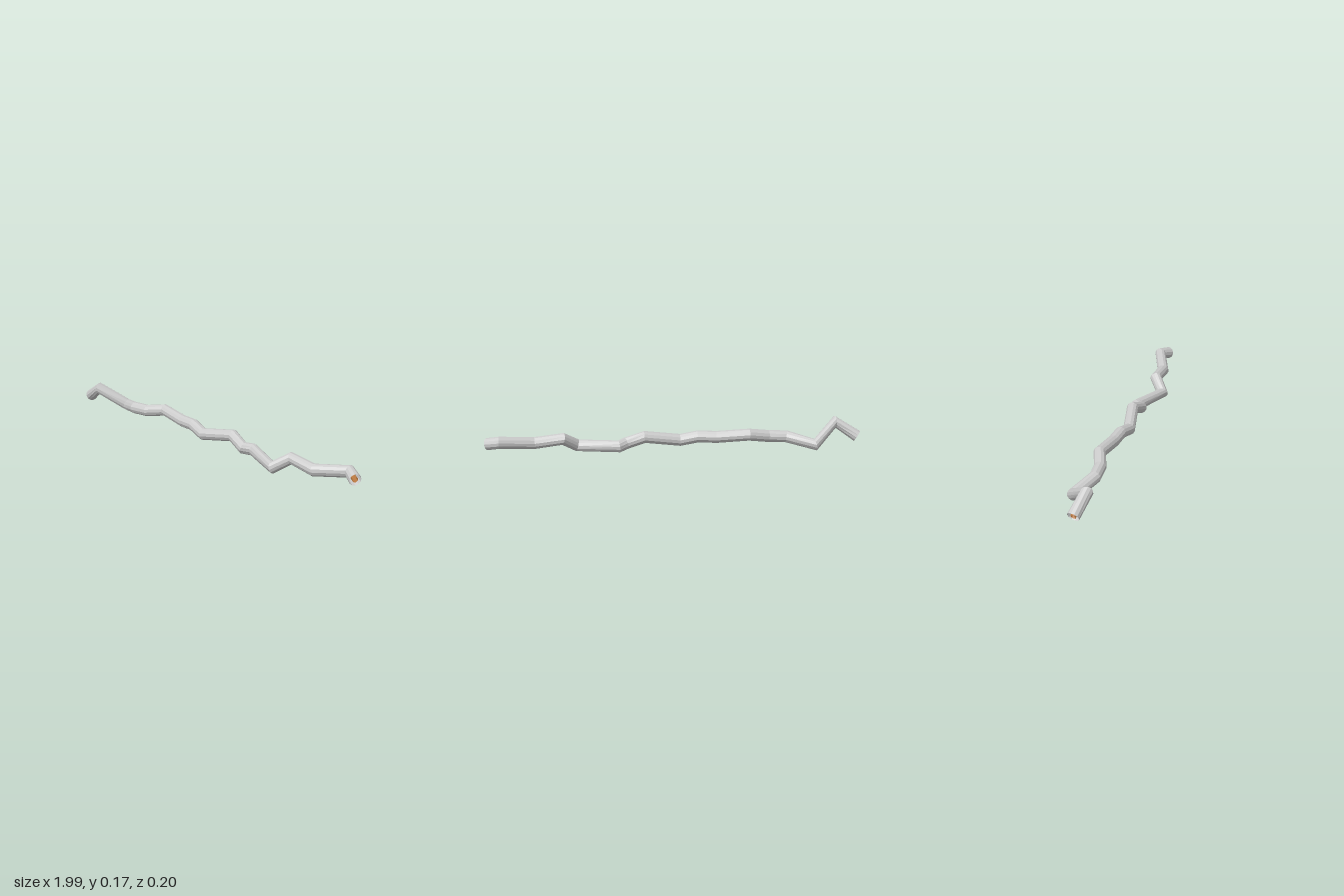
import * as THREE from 'three';

// Bend points along the cable, from its right end to its left end
const PATH = [
  [-0.98, 0.073, 0], [-0.865, 0.145, 0.033], [-0.745, 0.052, -0.07],
  [-0.6, 0.08, -0.003], [-0.5, 0.085, -0.005], [-0.395, 0.105, -0.038],
  [-0.225, 0.088, -0.012], [-0.13, 0.09, 0], [-0.035, 0.066, 0.02],
  [0.155, 0.096, -0.01], [0.25, 0.058, 0.012], [0.29, 0.05, -0.02],
  [0.51, 0.033, 0.07], [0.585, 0.087, 0.015], [0.737, 0.066, 0.02],
  [0.915, 0.09, -0.038], [0.98, 0.073, -0.002],
].map((p) => new THREE.Vector3(...p));

// Open tube with one ring per bend point, each ring facing the mean direction
function bentTube(points, radius, sides) {
  const positions = [];
  const indices = [];
  const dirs = points.slice(1).map((p, i) => p.clone().sub(points[i]).normalize());
  const normal = new THREE.Vector3(0, 1, 0);
  points.forEach((p, i) => {
    const before = dirs[Math.max(i - 1, 0)];
    const after = dirs[Math.min(i, dirs.length - 1)];
    const tangent = before.clone().add(after).normalize();
    normal.addScaledVector(tangent, -normal.dot(tangent)).normalize();
    const side = tangent.clone().cross(normal);
    for (let j = 0; j < sides; j++) {
      const a = (j / sides) * Math.PI * 2;
      const v = p.clone()
        .addScaledVector(normal, Math.cos(a) * radius)
        .addScaledVector(side, Math.sin(a) * radius);
      positions.push(v.x, v.y, v.z);
      if (i === 0) continue;
      const k = (j + 1) % sides;
      const lo = (i - 1) * sides;
      const hi = i * sides;
      indices.push(lo + j, lo + k, hi + j, lo + k, hi + k, hi + j);
    }
  });
  const geometry = new THREE.BufferGeometry();
  geometry.setAttribute('position', new THREE.Float32BufferAttribute(positions, 3));
  geometry.setIndex(indices);
  geometry.computeVertexNormals();
  return geometry;
}

function addTube(group, name, radius, sides, color) {
  const material = new THREE.MeshStandardMaterial({
    color, flatShading: true, side: THREE.DoubleSide,
  });
  const mesh = new THREE.Mesh(bentTube(PATH, radius, sides), material);
  mesh.name = name;
  group.add(mesh);
}

export function createModel() {
  const group = new THREE.Group();
  group.name = 'cable';
  // Outer insulation, open at both ends
  addTube(group, 'sheath', 0.032, 12, 0xcccccc);
  // Copper conductor running inside it
  addTube(group, 'core', 0.015, 8, 0xb87840);
  return group;
}
